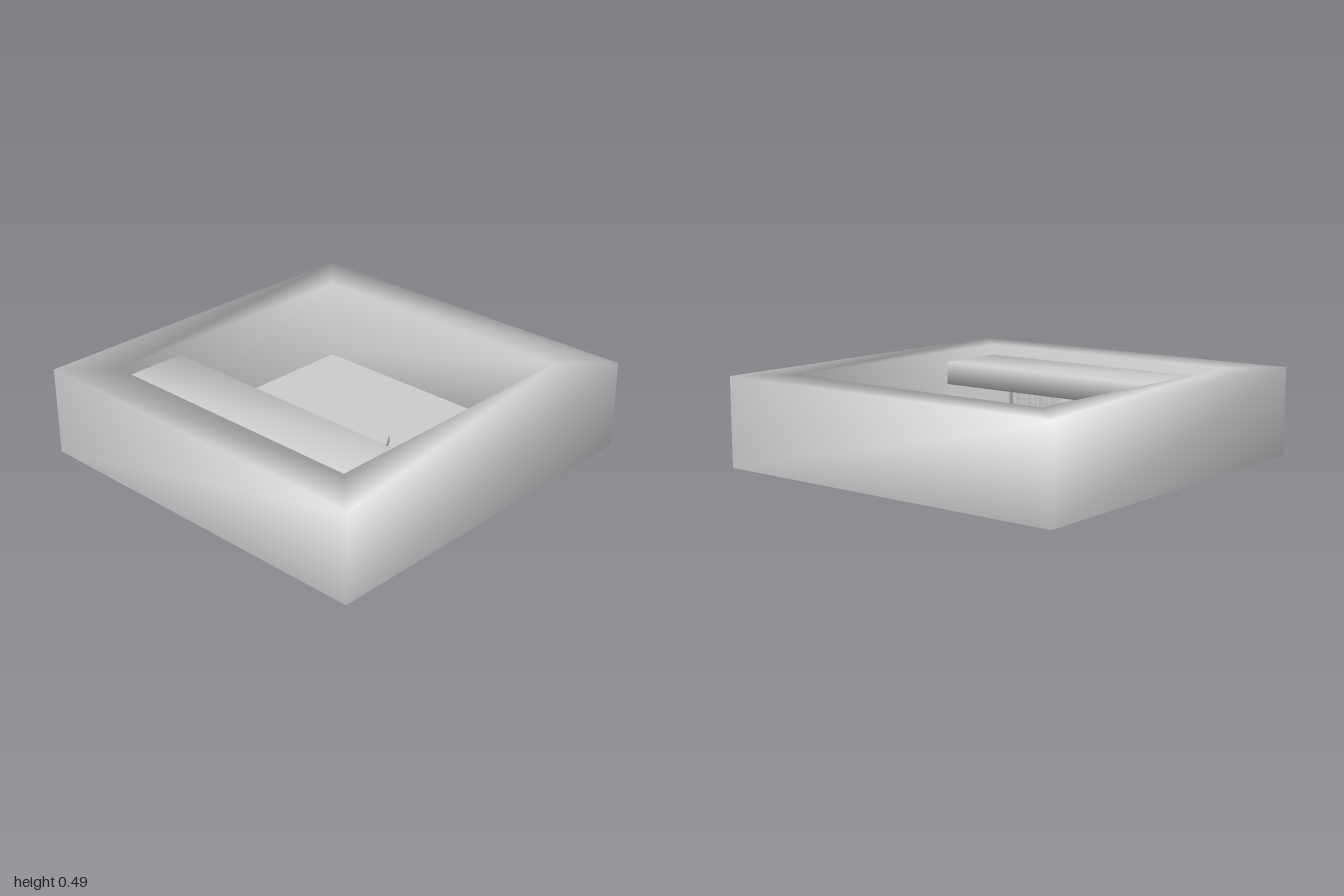
import * as THREE from 'three';
import { mergeVertices } from 'three/addons/utils/BufferGeometryUtils.js';

const solid = new THREE.MeshStandardMaterial({ color: 0xcccccc });
const thin = new THREE.MeshStandardMaterial({ color: 0xcccccc, side: THREE.DoubleSide });

function add(group, name, geometry, x = 0, y = 0, z = 0, material = solid) {
  const mesh = new THREE.Mesh(geometry, material);
  mesh.name = name;
  mesh.position.set(x, y, z);
  group.add(mesh);
  return mesh;
}

// Weld the corners so the shading runs smoothly over the edges
function smooth(geometry) {
  geometry.deleteAttribute('normal');
  geometry.deleteAttribute('uv');
  const welded = mergeVertices(geometry);
  welded.computeVertexNormals();
  return welded;
}

// Square shell swept from a [half width, height] profile
function squareShell(profile) {
  const corners = [[1, 1], [1, -1], [-1, -1], [-1, 1]];
  const n = profile.length;
  const positions = [], index = [];
  corners.forEach(([cx, cz], k) => {
    profile.forEach(([r, y], i) => {
      positions.push(cx * r, y, cz * r);
      if (i === n - 1) return;
      const a = k * n + i, b = ((k + 1) % 4) * n + i;
      index.push(a, b, b + 1, a, b + 1, a + 1);
    });
  });
  const g = new THREE.BufferGeometry();
  g.setAttribute('position', new THREE.Float32BufferAttribute(positions, 3));
  g.setIndex(index);
  g.computeVertexNormals();
  return g;
}

// Round platform with a straight path running to the front wall
function keyholeGeometry() {
  const r = 0.255, cz = -0.02, shape = new THREE.Shape();
  const stem = r * Math.sin(Math.PI / 8);
  shape.moveTo(-stem, -0.77);
  shape.lineTo(stem, -0.77);
  for (let i = 1; i <= 15; i++) {
    const a = i * Math.PI / 8;
    shape.lineTo(r * Math.sin(a), -cz - r * Math.cos(a));
  }
  shape.closePath();
  const g = new THREE.ExtrudeGeometry(shape, { depth: 0.09, bevelEnabled: false });
  return g.rotateX(-Math.PI / 2);
}

// Pleated cloth
function curtainGeometry(width, height) {
  const g = new THREE.PlaneGeometry(width, height, 40, 1);
  const p = g.attributes.position;
  for (let i = 0; i < p.count; i++) {
    p.setZ(i, 0.016 * Math.sin((p.getX(i) / width) * Math.PI * 8));
  }
  g.computeVertexNormals();
  return g;
}

export function createModel() {
  const model = new THREE.Group();
  model.name = 'walledRoom';

  // Hollow outer wall, open underneath
  add(model, 'outerWall', squareShell([[1, 0.025], [1, 0.49], [0.77, 0.49], [0.77, 0.05]]), 0, 0, 0, thin);

  // Floor sheet and the raised path through it
  add(model, 'floor', new THREE.PlaneGeometry(1.54, 1.54).rotateX(-Math.PI / 2), 0, 0.05, 0, thin);
  add(model, 'keyholePlatform', keyholeGeometry());

  // Heavy beam across the front
  add(model, 'beam', smooth(new THREE.BoxGeometry(1.54, 0.125, 0.4)), 0, 0.37, 0.57);

  // Partition and curtain on each side of the doorway
  for (const side of [1, -1]) {
    const name = side > 0 ? 'left' : 'right';
    add(model, name + 'Partition', new THREE.BoxGeometry(0.47, 0.325, 0.06), side * 0.585, 0.1775, 0.43);
    add(model, name + 'Curtain', curtainGeometry(0.31, 0.18), side * 0.195, 0.24, 0.43, thin);
  }
  return model;
}
